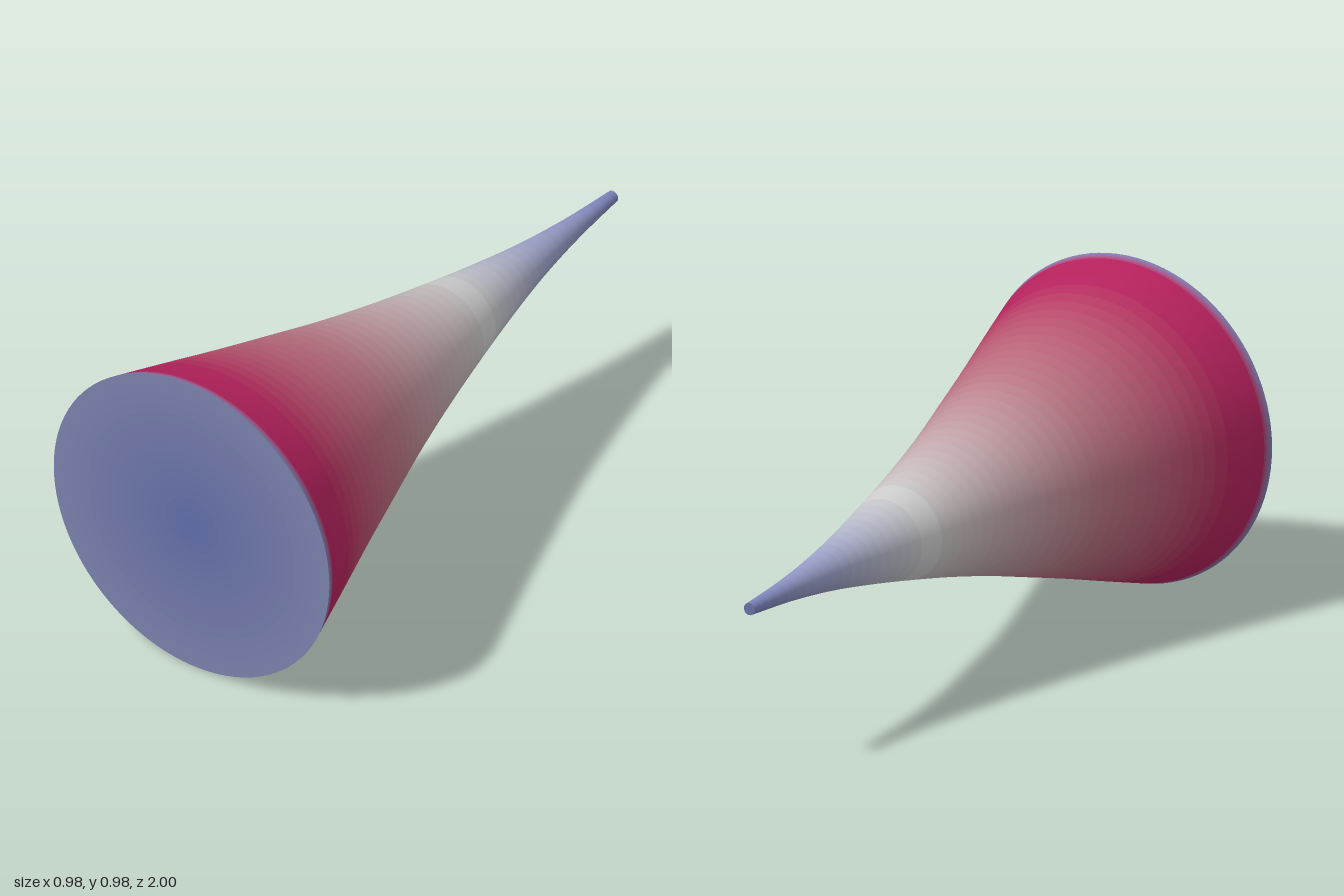
import * as THREE from 'three';

const SIDES = 96;
const CENTRE_Y = 0.488;

// Flared profile: (z, radius) from the narrow tip to the wide mouth
const profile = new THREE.SplineCurve([
  [-1, 0.018], [-0.8, 0.034], [-0.6, 0.06], [-0.4, 0.097], [-0.2, 0.14], [0, 0.187],
  [0.2, 0.24], [0.4, 0.3], [0.6, 0.361], [0.8, 0.425], [1, 0.488],
].map(([z, r]) => new THREE.Vector2(z, r)));

// Colour stops along z; the mouth ends in a thin blue rim
const stops = [
  [-1, 0x7880b8], [-0.6, 0x9ca2c6], [-0.25, 0xc8c8c8], [0.05, 0xc0a6aa],
  [0.4, 0xb87482], [0.85, 0xb4245c], [0.97, 0xb4205c], [1, 0x7880b4],
].map(([z, hex]) => ({ z, color: new THREE.Color(hex) }));

function colorAt(z) {
  let i = 1;
  while (i < stops.length - 1 && stops[i].z < z) i++;
  const a = stops[i - 1], b = stops[i];
  return a.color.clone().lerp(b.color, (z - a.z) / (b.z - a.z));
}

function addPart(group, name, geometry, color) {
  const mesh = new THREE.Mesh(geometry, new THREE.MeshStandardMaterial({ color }));
  mesh.name = name;
  group.add(mesh);
  return mesh;
}

export function createModel() {
  const model = new THREE.Group();
  model.name = 'flaredCone';

  // Wall: narrow lathed bands that shade from blue through grey to crimson
  const wall = new THREE.Group();
  wall.name = 'wall';
  const samples = profile.getPoints(50);
  const last = samples.pop();
  const before = samples[samples.length - 1];
  for (let i = 1; i <= 4; i++) samples.push(before.clone().lerp(last, i / 4));
  for (let i = 0; i < samples.length - 1; i++) {
    const a = samples[i], b = samples[i + 1];
    const points = [new THREE.Vector2(a.y, a.x), new THREE.Vector2(b.y, b.x)];
    const band = new THREE.LatheGeometry(points, SIDES).rotateX(Math.PI / 2);
    addPart(wall, 'wallBand', band, colorAt((a.x + b.x) / 2));
  }
  model.add(wall);

  // Mouth disc: concentric rings, deeper blue at the centre
  const mouth = new THREE.Group();
  mouth.name = 'mouthDisc';
  const rings = 16;
  const inner = new THREE.Color(0x606ca8), outer = new THREE.Color(0x7a80ac);
  for (let i = 0; i < rings; i++) {
    const r0 = 0.488 * i / rings, r1 = 0.488 * (i + 1) / rings;
    const ring = i === 0 ? new THREE.CircleGeometry(r1, SIDES) : new THREE.RingGeometry(r0, r1, SIDES);
    addPart(mouth, 'mouthRing', ring, inner.clone().lerp(outer, i / (rings - 1))).position.z = 1;
  }
  model.add(mouth);

  // Small disc closing the tip
  const tip = new THREE.CircleGeometry(0.018, SIDES).rotateY(Math.PI);
  addPart(model, 'tipDisc', tip, 0x6870a8).position.z = -1;

  model.position.y = CENTRE_Y;
  return model;
}
